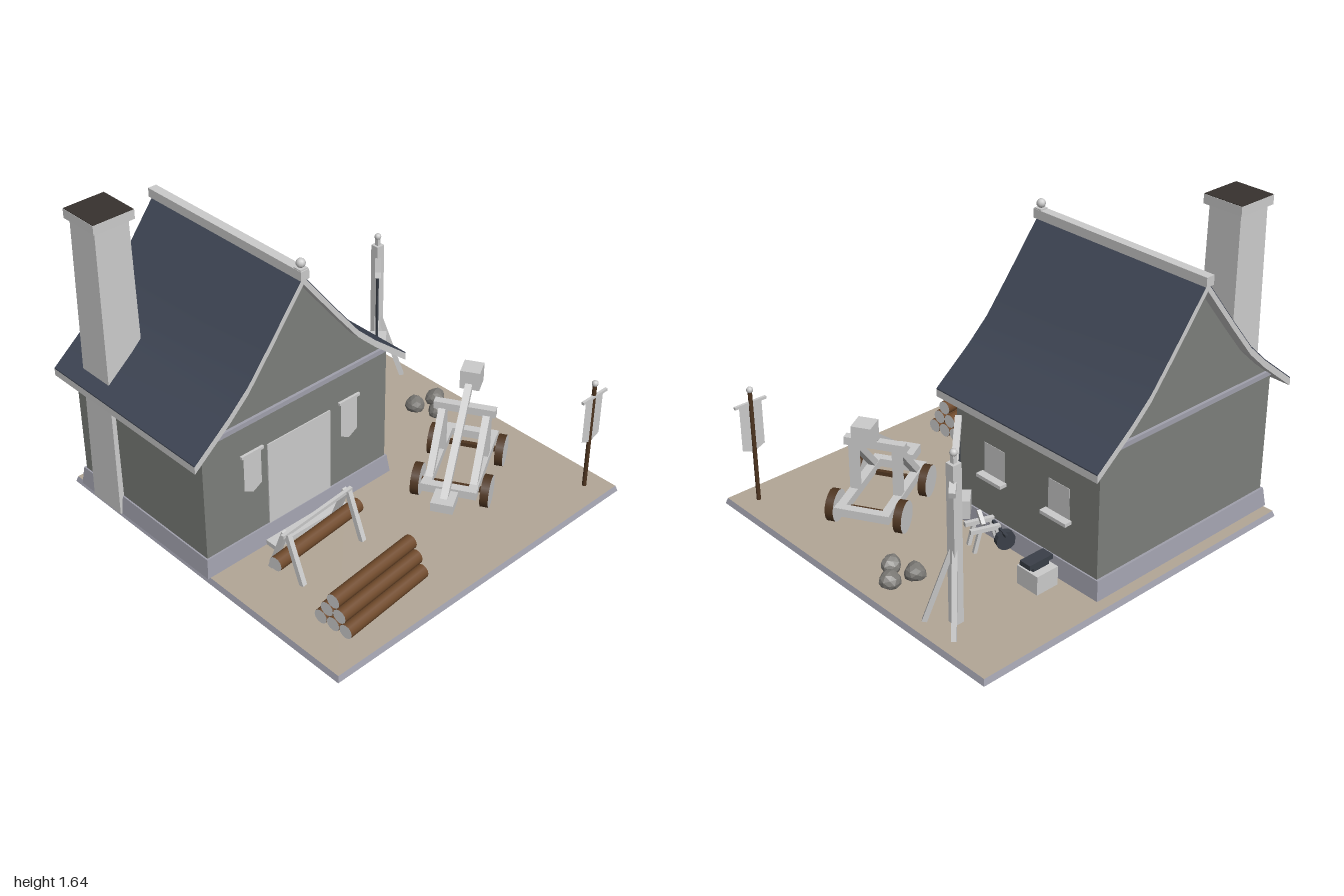
import * as THREE from 'three';
import { toCreasedNormals } from 'three/addons/utils/BufferGeometryUtils.js';

const mat = (color, side = THREE.FrontSide, flatShading = true) =>
  new THREE.MeshStandardMaterial({ color, side, flatShading });
const GREY = mat(0xcccccc);
const SMOOTH = mat(0xcccccc, THREE.FrontSide, false);
const CLOTH = mat(0xcccccc, THREE.DoubleSide);
const WALL = mat(0x7d7f7b);
const PLINTH = mat(0xa0a0ac);
const SLATE = mat(0x3f4655, THREE.FrontSide, false);
const EARTH = mat(0xb3a797);
const WOOD = mat(0x704a2b, THREE.FrontSide, false);
const DARKWOOD = mat(0x4e3520, THREE.FrontSide, false);
const IRON = mat(0x3a3f48);
const SOOT = mat(0x37322e);
const ROCK = mat(0x7d7b77);

const V = (x, y, z) => new THREE.Vector3(x, y, z);

function add(parent, name, geo, material, x = 0, y = 0, z = 0) {
  const m = new THREE.Mesh(geo, material);
  m.name = name;
  m.position.set(x, y, z);
  parent.add(m);
  return m;
}

function group(parent, name, x = 0, y = 0, z = 0, turn = 0) {
  const g = new THREE.Group();
  g.name = name;
  g.position.set(x, y, z);
  g.rotation.y = turn;
  parent.add(g);
  return g;
}

// Box given by its minimum and maximum corners; the top is scaled by tx, tz
function block(parent, name, a, b, material = GREY, tx = 1, tz = 1) {
  const geo = new THREE.BoxGeometry(b[0] - a[0], b[1] - a[1], b[2] - a[2]);
  const p = geo.attributes.position;
  for (let i = 0; i < p.count; i++)
    if (p.getY(i) > 0) p.setXYZ(i, p.getX(i) * tx, p.getY(i), p.getZ(i) * tz);
  geo.computeVertexNormals();
  return add(parent, name, geo, material, (a[0] + b[0]) / 2, (a[1] + b[1]) / 2, (a[2] + b[2]) / 2);
}

// Square timber running from a to b
function beam(parent, name, a, b, w, material = GREY) {
  const m = add(parent, name, new THREE.BoxGeometry(w, w, a.distanceTo(b)), material);
  m.position.copy(a).add(b).multiplyScalar(0.5);
  const dir = b.clone().sub(a).normalize();
  m.rotation.set(-Math.asin(dir.y), Math.atan2(dir.x, dir.z), 0, 'YXZ');
}

function ball(parent, name, r, x, y, z) {
  add(parent, name, new THREE.SphereGeometry(r, 10, 8), SMOOTH, x, y, z);
}

// Log lying along x, with pale cut ends
function log(parent, r, len, y, z) {
  const geo = new THREE.CylinderGeometry(r, r, len, 12).rotateZ(Math.PI / 2);
  add(parent, 'log', geo, [WOOD, GREY, GREY], 0, y, z);
}

const outline = pts => new THREE.Shape(pts.map(p => new THREE.Vector2(p[0], p[1])));
const mirrored = pts => pts.map(([x, y]) => [-x, y]).reverse();

// Extrudes a list of [x, y] points from z0 to z1
function extrude(parent, name, pts, z0, z1, material, x = 0) {
  const geo = new THREE.ExtrudeGeometry(outline(pts), { depth: z1 - z0, bevelEnabled: false });
  add(parent, name, toCreasedNormals(geo, 0.4), material, x, 0, z0);
}

// Hanging cloth with a pointed lower edge, on a cross rod
function banner(parent, x, z, w, top, low, tip, rod) {
  const h = w / 2;
  const g = group(parent, 'banner');
  const pts = [[-h, top], [-h, low], [0, tip], [h, low], [h, top]];
  add(g, 'cloth', new THREE.ShapeGeometry(outline(pts)), CLOTH, x, 0, z);
  beam(g, 'bannerRod', V(x - rod, top, z), V(x + rod, top, z), 0.014);
}

function buildHouse(root) {
  const house = group(root, 'house');
  const cx = -0.345;
  block(house, 'plinth', [-0.94, 0.03, -0.9], [0.25, 0.13, 0.092], PLINTH, 0.98, 0.975);

  // Walls with both gables, filled up to the underside of the roof
  const half = [[0.575, 0.12], [0.575, 0.765], [0.45, 0.87], [0.335, 0.98]];
  extrude(house, 'walls', [...half, [0, 1.41], ...mirrored(half)], -0.875, 0.07, WALL, cx);
  block(house, 'wallPlate', [-0.932, 0.77, -0.89], [0.242, 0.795, 0.085], PLINTH);

  // Flared roof: pale deck below, slate skin above
  const slope = [[0.655, 0.735], [0.45, 0.902], [0.335, 1.01], [0.2, 1.178], [0, 1.435]];
  const section = [...slope, ...mirrored(slope).slice(1)];
  const layer = (name, low, high, z0, z1, material) => {
    const upper = section.map(([x, y]) => [x, y + high]);
    const lower = section.map(([x, y]) => [x, y + low]).reverse();
    extrude(house, name, [...upper, ...lower], z0, z1, material, cx);
  };
  layer('roofDeck', -0.038, 0, -0.935, 0.124, GREY);
  layer('roofSlates', 0, 0.006, -0.933, 0.122, SLATE);
  block(house, 'ridgeBeam', [cx - 0.024, 1.425, -0.945], [cx + 0.024, 1.472, 0.135]);
  block(house, 'finialBase', [cx - 0.022, 1.43, 0.085], [cx + 0.022, 1.478, 0.129]);
  ball(house, 'finial', 0.023, cx, 1.5, 0.107);

  // Chimney against the side wall
  block(house, 'chimney', [-0.95, 0.03, -0.783], [-0.728, 1.6, -0.568], GREY, 0.84, 0.86);
  block(house, 'chimneyCap', [-0.95, 1.593, -0.787], [-0.725, 1.64, -0.563]);
  block(house, 'chimneySoot', [-0.948, 1.638, -0.785], [-0.727, 1.643, -0.565], SOOT);

  // Door, step and wall banners
  block(house, 'door', [-0.54, 0.05, 0.06], [-0.145, 0.595, 0.076]);
  block(house, 'step', [-0.578, 0.03, 0.06], [-0.107, 0.055, 0.155]);
  for (const x of [-0.647, -0.037]) banner(house, x, 0.092, 0.105, 0.617, 0.42, 0.39, 0.067);

  // Side windows with sills
  for (const z of [-0.193, -0.625]) {
    block(house, 'window', [0.2, 0.36, z - 0.068], [0.232, 0.525, z + 0.068]);
    block(house, 'windowSill', [0.22, 0.345, z - 0.083], [0.272, 0.363, z + 0.083]);
  }
}

function buildCatapult(root) {
  const c = group(root, 'catapult', 0.468, 0, 0.372, Math.PI / 6);
  for (const s of [-1, 1]) {
    beam(c, 'sideRail', V(-0.265, 0.14, s * 0.115), V(0.265, 0.14, s * 0.115), 0.045);
    beam(c, 'crossRail', V(s * 0.245, 0.14, -0.14), V(s * 0.245, 0.14, 0.14), 0.044);
    beam(c, 'axle', V(s * 0.172, 0.115, -0.17), V(s * 0.172, 0.115, 0.17), 0.022, DARKWOOD);
    beam(c, 'upright', V(0.055, 0.15, s * 0.112), V(0.055, 0.41, s * 0.112), 0.042);
    beam(c, 'brace', V(-0.19, 0.15, s * 0.112), V(0.045, 0.4, s * 0.112), 0.036);
    for (const x of [-0.172, 0.172]) {
      const rim = new THREE.CylinderGeometry(0.082, 0.082, 0.042, 16).rotateX(Math.PI / 2);
      add(c, 'wheel', rim, [DARKWOOD, GREY, GREY], x, 0.115, s * 0.175);
    }
  }
  beam(c, 'topBeam', V(0.055, 0.425, -0.156), V(0.055, 0.425, 0.156), 0.042);
  beam(c, 'throwingArm', V(-0.36, 0.15, 0), V(0.165, 0.545, 0), 0.036);
  block(c, 'sling', [-0.408, 0.12, -0.056], [-0.292, 0.17, 0.056]);
  block(c, 'counterweight', [0.113, 0.495, -0.046], [0.216, 0.598, 0.054]);
}

function buildCrane(root) {
  const c = group(root, 'crane', 0.81, 0, -0.578);
  block(c, 'cranePost', [-0.024, 0.03, -0.024], [0.024, 0.85, 0.024]);
  block(c, 'postNeck', [-0.01, 0.85, -0.01], [0.01, 0.89, 0.01]);
  ball(c, 'postKnob', 0.018, 0, 0.9, 0);
  beam(c, 'jib', V(-0.243, 0.87, 0.247), V(0.058, 0.735, -0.054), 0.03);
  for (const [x, z] of [[1, 1], [1, -1], [-1, 1]])
    beam(c, 'strut', V(x * 0.1, 0.03, z * 0.1), V(x * 0.008, 0.42, z * 0.008), 0.024);
  beam(c, 'rope', V(-0.226, 0.48, 0.228), V(-0.226, 0.855, 0.228), 0.01, IRON);
  const load = block(c, 'hangingLoad', [-0.276, 0.393, 0.178], [-0.176, 0.485, 0.278]);
  load.rotation.y = Math.PI / 4;
}

function buildYard(root) {
  // Pyramid of logs
  const stack = group(root, 'logStack', -0.48, 0, 0.712, 0.09);
  for (let row = 0; row < 3; row++)
    for (let i = 0; i < 3 - row; i++)
      log(stack, 0.037, 0.54, 0.067 + row * 0.068, (i - (2 - row) / 2) * 0.074);

  // Trestle straddling a single log
  const trestle = group(root, 'trestle', -0.445, 0, 0.306, 0.09);
  log(trestle, 0.038, 0.575, 0.15, 0);
  beam(trestle, 'trestleBar', V(-0.24, 0.28, 0), V(0.24, 0.28, 0), 0.018);
  for (const x of [-0.21, 0.21])
    for (const s of [-1, 1])
      beam(trestle, 'trestleLeg', V(x, 0.03, s * 0.1), V(x, 0.285, s * 0.008), 0.026);

  // Banner on a pole
  const flag = group(root, 'bannerPole');
  add(flag, 'pole', new THREE.CylinderGeometry(0.011, 0.011, 0.61, 8), DARKWOOD, 0.877, 0.335, 0.845);
  ball(flag, 'poleKnob', 0.017, 0.877, 0.65, 0.845);
  banner(flag, 0.877, 0.85, 0.13, 0.577, 0.33, 0.303, 0.09);

  // Rocks half sunk in the ground, dented by a fixed rule
  [[0.727, -0.195, 0], [0.855, -0.168, 1.3], [0.775, -0.075, 2.4]].forEach(([x, z, t]) => {
    const geo = new THREE.IcosahedronGeometry(0.052, 1);
    const p = geo.attributes.position;
    for (let i = 0; i < p.count; i++) {
      const k = 1 + 0.14 * Math.sin(55 * p.getX(i) + t * 3) * Math.cos(47 * p.getZ(i) + 30 * p.getY(i));
      p.setXYZ(i, p.getX(i) * k, p.getY(i) * k * 0.92, p.getZ(i) * k);
    }
    geo.computeVertexNormals();
    add(root, 'rock', geo, ROCK, x, 0.058, z).rotation.y = t;
  });

  // Anvil on its block
  const anvil = group(root, 'anvil', 0.35, 0, -0.615);
  block(anvil, 'anvilBlock', [-0.065, 0.03, -0.067], [0.065, 0.13, 0.067]);
  block(anvil, 'anvilFoot', [-0.05, 0.13, -0.025], [0.05, 0.155, 0.025], IRON);
  block(anvil, 'anvilFace', [-0.065, 0.155, -0.033], [0.08, 0.18, 0.033], IRON);

  // Grindstone on a small frame
  const grind = group(root, 'grindstone', 0.335, 0, -0.21, -0.35);
  const stone = new THREE.CylinderGeometry(0.05, 0.05, 0.032, 14).rotateX(Math.PI / 2);
  add(grind, 'stone', stone, IRON, -0.09, 0.095, -0.085);
  beam(grind, 'axle', V(-0.08, 0.14, -0.13), V(-0.07, 0.14, 0.05), 0.014, IRON);
  for (const z of [-0.045, 0.03]) {
    beam(grind, 'frameLeg', V(-0.09, 0.03, z), V(-0.06, 0.15, z), 0.018);
    beam(grind, 'frameLeg', V(0.05, 0.03, z), V(0.02, 0.15, z), 0.018);
    beam(grind, 'frameBar', V(-0.08, 0.15, z), V(0.07, 0.15, z), 0.022);
  }
  beam(grind, 'handle', V(-0.01, 0.15, -0.01), V(-0.01, 0.195, 0.05), 0.02);
}

export function createModel() {
  const root = new THREE.Group();
  root.name = 'workshopYard';
  const faces = [PLINTH, PLINTH, EARTH, EARTH, PLINTH, PLINTH];
  block(root, 'ground', [-0.935, 0, -0.967], [0.995, 0.03, 0.967], faces, 0.99, 0.99);
  buildHouse(root);
  buildCatapult(root);
  buildCrane(root);
  buildYard(root);
  return root;
}
